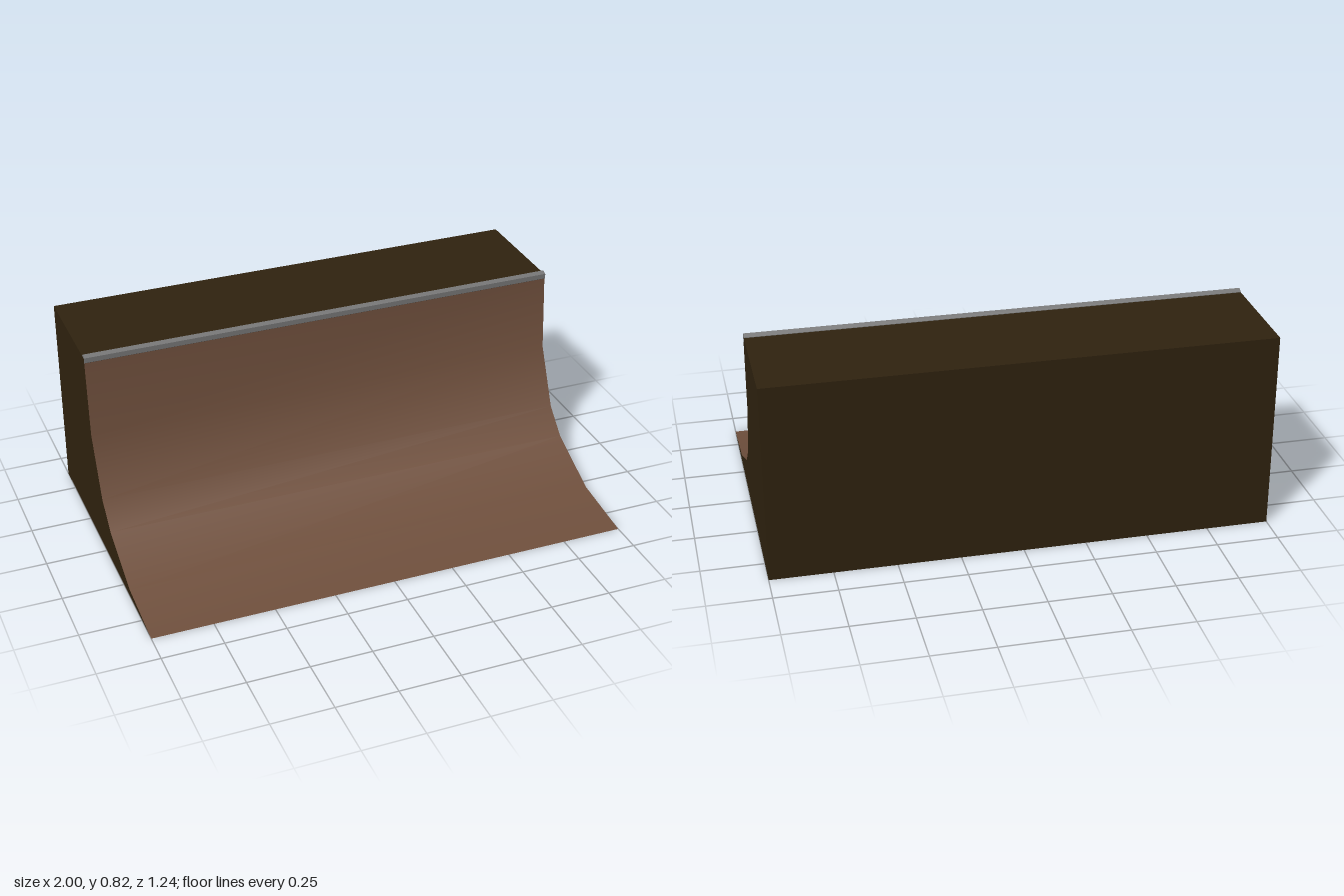
import * as THREE from 'three';

const HALF = 1;

// Strip across the full width along a list of [z, y] points
function strip(points) {
  const pos = [], idx = [];
  points.forEach(([z, y], i) => {
    pos.push(-HALF, y, z, HALF, y, z);
    if (i === 0) return;
    const a = 2 * (i - 1);
    idx.push(a, a + 1, a + 3, a, a + 3, a + 2);
  });
  const g = new THREE.BufferGeometry();
  g.setAttribute('position', new THREE.Float32BufferAttribute(pos, 3));
  g.setIndex(idx);
  g.computeVertexNormals();
  return g;
}

export function createModel() {
  const wood = new THREE.MeshStandardMaterial({ color: 0x70503d });
  wood.name = 'brown wood';
  const frame = new THREE.MeshStandardMaterial({ color: 0x30230f });
  frame.name = 'dark frame';
  const metal = new THREE.MeshStandardMaterial({ color: 0x757575, flatShading: true });
  metal.name = 'grey metal';

  const group = new THREE.Group();
  group.name = 'quarterPipe';
  const add = (name, geometry, material) => {
    const mesh = new THREE.Mesh(geometry, material);
    mesh.name = name;
    group.add(mesh);
    return mesh;
  };

  // Side profile, from the front edge up the curve to the lip
  const curve = [
    [0.622, 0], [0.335, 0.033], [0.085, 0.143],
    [-0.015, 0.237], [-0.123, 0.477], [-0.147, 0.812],
  ];
  const lip = curve[curve.length - 1];
  const backTop = [-0.622, 0.812], backBottom = [-0.622, 0];

  // Riding surface, smooth across its facets
  add('ridingSurface', strip(curve), wood);
  add('underside', strip([backBottom, curve[0]]), wood);

  // Deck and back wall
  add('deck', strip([lip, backTop]), frame);
  add('backWall', strip([backTop, backBottom]), frame);

  // End walls, one on each side
  for (const side of [1, -1]) {
    const shape = new THREE.Shape(
      [...curve, backTop, backBottom].map(([z, y]) => new THREE.Vector2(-side * z, y)));
    const g = new THREE.ShapeGeometry(shape);
    g.rotateY(side * Math.PI / 2);
    g.translate(side * HALF, 0, 0);
    add(side > 0 ? 'leftWall' : 'rightWall', g, frame);
  }

  // Metal coping rail along the lip
  const rail = new THREE.CylinderGeometry(0.02, 0.02, 2 * HALF, 6);
  rail.rotateZ(Math.PI / 2);
  rail.rotateX(0.45);
  add('copingRail', rail, metal).position.set(0, 0.805, -0.157);

  return group;
}
